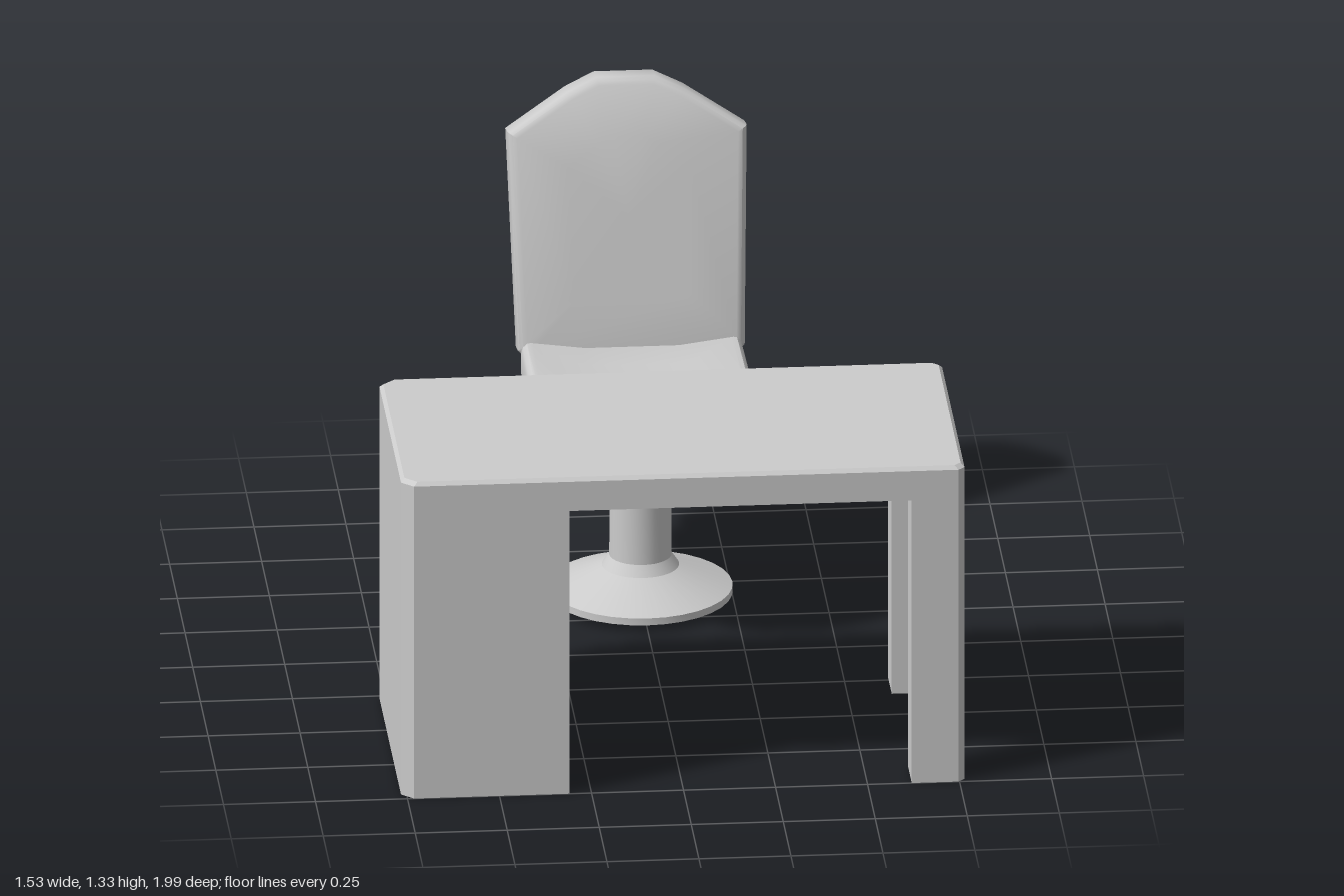
import * as THREE from 'three';
import { toCreasedNormals } from 'three/addons/utils/BufferGeometryUtils.js';

const grey = new THREE.MeshStandardMaterial({ color: 0xcccccc });
const greyOpen = new THREE.MeshStandardMaterial({ color: 0xcccccc, side: THREE.DoubleSide });

// Stacks copies of a convex counter-clockwise outline; rings are [inset, height].
// place(a, b, h) turns outline coordinates and height into [x, y, z].
function loft(outline, rings, place, { caps = true, crease = 0.6 } = {}) {
  const box = new THREE.Box2().setFromPoints(outline.map(([a, b]) => new THREE.Vector2(a, b)));
  const mid = box.getCenter(new THREE.Vector2());
  const size = box.getSize(new THREE.Vector2());
  const n = outline.length, pos = [], index = [];
  for (const [inset, h] of rings) {
    const sa = 1 - 2 * inset / size.x, sb = 1 - 2 * inset / size.y;
    for (const [a, b] of outline) pos.push(...place(mid.x + (a - mid.x) * sa, mid.y + (b - mid.y) * sb, h));
  }
  for (let r = 0; r < rings.length - 1; r++) {
    for (let i = 0; i < n; i++) {
      const p = r * n + i, q = r * n + (i + 1) % n;
      index.push(p, q, q + n, p, q + n, p + n);
    }
  }
  if (caps) {
    const last = (rings.length - 1) * n, bottom = rings.length * n;
    pos.push(...place(mid.x, mid.y, rings[0][1]), ...place(mid.x, mid.y, rings.at(-1)[1]));
    for (let i = 0; i < n; i++) {
      const j = (i + 1) % n;
      index.push(bottom, j, i, bottom + 1, last + i, last + j);
    }
  }
  const geo = new THREE.BufferGeometry();
  geo.setAttribute('position', new THREE.Float32BufferAttribute(pos, 3));
  geo.setIndex(index);
  return toCreasedNormals(geo, crease);
}

function add(parent, name, geo, material = grey) {
  const mesh = new THREE.Mesh(geo, material);
  mesh.name = name;
  parent.add(mesh);
  return mesh;
}

// Plan outlines use b = -z so that height points up.
const upright = (a, b, h) => [a, h, -b];
const backward = (a, b, h) => [-a, b, -h];

// Rectangle with one chamfer size per corner: front left, front right, back right, back left
function chamfered(x0, x1, z0, z1, [c0, c1, c2, c3]) {
  const pts = [
    [x0, -z1 + c0], [x0 + c0, -z1], [x1 - c1, -z1], [x1, -z1 + c1],
    [x1, -z0 - c2], [x1 - c2, -z0], [x0 + c3, -z0], [x0, -z0 - c3],
  ];
  return pts.filter((p, i) => {
    const q = pts[(i + 1) % pts.length];
    return Math.hypot(p[0] - q[0], p[1] - q[1]) > 1e-6;
  });
}

// Rounded cushion profile: rounded rims plus an inner ring on both faces
function cushionRings(t, r) {
  const rings = [[0.16, 0]];
  for (let i = 0; i <= 3; i++) {
    const a = i / 3 * Math.PI / 2;
    rings.push([r * (1 - Math.sin(a)), r * (1 - Math.cos(a))]);
  }
  return [...rings, ...rings.map(([d, h]) => [d, t - h]).reverse()];
}

function createDesk() {
  const desk = new THREE.Group();
  desk.name = 'desk';
  const L = -0.765, R = 0.765, B = 0.235, F = 1, under = 0.825;
  const big = 0.033, small = 0.018;

  add(desk, 'desktop', loft(chamfered(L, R, B, F, [big, small, small, big]),
    [[0, under], [0, 0.91], [0.01, 0.92]], upright, { crease: 0.4 }));
  add(desk, 'drawerPedestal', loft(chamfered(L, -0.31, B, F, [big, 0, 0, big]),
    [[0, 0], [0, under]], upright, { crease: 0.4 }));

  // Hollow legs, open at the foot
  const legs = [
    ['frontLeg', 0.885, F, [0, small, 0, 0]],
    ['backLeg', B, 0.35, [0, 0, small, 0]],
  ];
  for (const [name, z0, z1, c] of legs) {
    add(desk, name, loft(chamfered(0.62, R, z0, z1, c), [[0, 0], [0, under]], upright,
      { caps: false, crease: 0.4 }), greyOpen);
  }

  // Drawer fronts on the chair side, with bevelled rims
  for (const [y0, y1] of [[0.045, 0.225], [0.26, 0.415], [0.45, 0.605], [0.635, 0.76]]) {
    const outline = [[0.325, y0], [0.72, y0], [0.72, y1], [0.325, y1]];
    add(desk, 'drawerFront', loft(outline, [[0, 0], [0, 0.014], [0.014, 0.028]], backward, { crease: 0.4 }))
      .position.z = B;
  }
  return desk;
}

function createChair() {
  const chair = new THREE.Group();
  chair.name = 'chair';

  // Flared pedestal, open underneath
  const profile = [[0.25, 0.02], [0.25, 0.04], [0.105, 0.1], [0.085, 0.13], [0.083, 0.425],
    [0.11, 0.435], [0.145, 0.465], [0.17, 0.48], [0.18, 0.505]].map(p => new THREE.Vector2(...p));
  const pedestal = add(chair, 'chairPedestal',
    toCreasedNormals(new THREE.LatheGeometry(profile, 32), 0.5), greyOpen);
  pedestal.position.z = -0.4;

  // Seat, dished along its middle
  const half = [[0.08, -0.055], [0.17, -0.02], [0.308, 0.09], [0.3, 0.7], [0.14, 0.7]];
  const seat = [...half, ...half.map(([a, b]) => [-a, b]).reverse()];
  const dished = (a, b, h) =>
    [a, 0.5 + h + 0.02 * THREE.MathUtils.clamp((Math.abs(a) - 0.13) / 0.15, 0, 1), -b];
  add(chair, 'seat', loft(seat, cushionRings(0.125, 0.03), dished));

  // Reclined backrest, its crown bent further back
  const side = [[0.29, 0], [0.308, 0.02], [0.325, 0.62], [0.16, 0.725], [0.08, 0.762]];
  const back = [...side, ...side.map(([a, b]) => [-a, b]).reverse()];
  const bent = (a, b, h) => [-a, b, -h - 0.25 * Math.max(0, b - 0.62)];
  const backrest = add(chair, 'backrest', loft(back, cushionRings(0.125, 0.025), bent));
  backrest.position.set(0, 0.6, -0.665);
  backrest.rotation.x = -0.237;
  return chair;
}

export function createModel() {
  const model = new THREE.Group();
  model.name = 'deskAndChair';
  model.add(createDesk(), createChair());
  return model;
}
